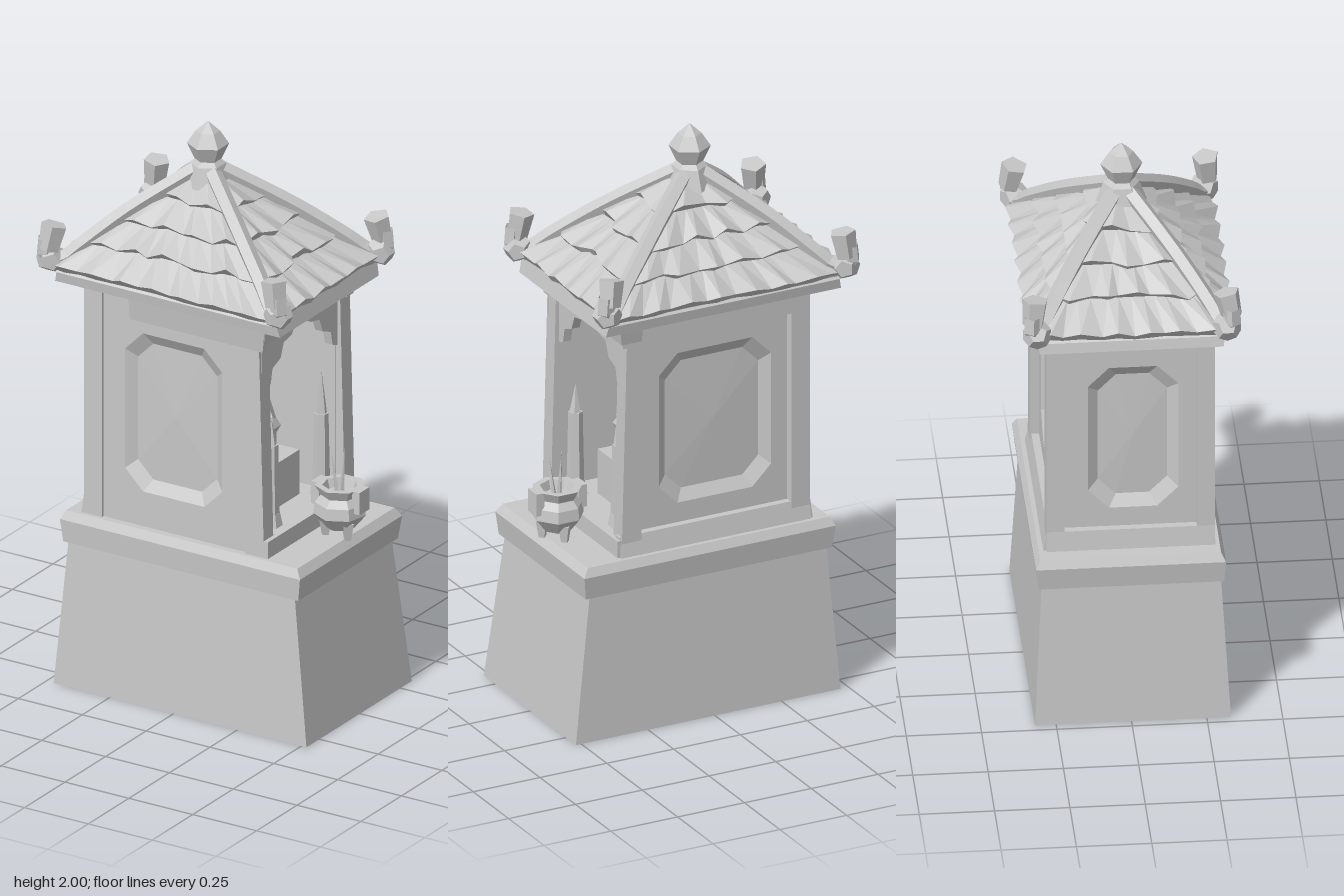
import * as THREE from 'three';

const stone = new THREE.MeshStandardMaterial({ color: 0xc8c8c8, flatShading: true, side: THREE.DoubleSide });
stone.name = 'grey stone';

let seed = 7;
const rnd = () => ((seed = (seed * 16807) % 2147483647) / 2147483647);

function add(parent, name, geo, x = 0, y = 0, z = 0) {
  const m = new THREE.Mesh(geo, stone);
  m.name = name;
  m.position.set(x, y, z);
  parent.add(m);
  return m;
}

// Block with separate bottom and top rectangles [x0, x1, z0, z1]
function block(parent, name, y0, y1, b, t = b) {
  const g = new THREE.BoxGeometry(1, 1, 1), p = g.attributes.position;
  for (let i = 0; i < p.count; i++) {
    const up = p.getY(i) > 0, r = up ? t : b;
    p.setXYZ(i, p.getX(i) < 0 ? r[0] : r[1], up ? y1 : y0, p.getZ(i) < 0 ? r[2] : r[3]);
  }
  return add(parent, name, g);
}

const fromTris = (pts) => {
  const g = new THREE.BufferGeometry().setFromPoints(pts);
  g.computeVertexNormals();
  return g;
};

const octagon = (w, h, c) => [[-w + c, -h], [w - c, -h], [w, -h + c], [w, h - c], [w - c, h], [-w + c, h], [-w, h - c], [-w, -h + c]]
  .map(([x, y]) => new THREE.Vector2(x, y));

// Wall with a sunken eight-sided panel, facing +z
function panelWall(parent, name, w, h, pw, ph) {
  const wall = new THREE.Group();
  wall.name = name;
  const s = new THREE.Shape([[-w, -h], [w, -h], [w, h], [-w, h]].map(([x, y]) => new THREE.Vector2(x, y)));
  const outer = octagon(pw, ph, 0.07), inner = octagon(pw - 0.035, ph - 0.04, 0.06);
  s.holes.push(new THREE.Path(outer));
  add(wall, 'wallFace', new THREE.ShapeGeometry(s));
  const pts = [], d = -0.025;
  outer.forEach((o, i) => {
    const j = (i + 1) % 8;
    const A = new THREE.Vector3(o.x, o.y, 0), B = new THREE.Vector3(outer[j].x, outer[j].y, 0);
    const C = new THREE.Vector3(inner[j].x, inner[j].y, d), D = new THREE.Vector3(inner[i].x, inner[i].y, d);
    pts.push(A, B, C, A, C, D, D, C, new THREE.Vector3(0, 0, d + 0.008));
  });
  add(wall, 'sunkenPanel', fromTris(pts));
  parent.add(wall);
  return wall;
}

// One sloping roof side: rows of uneven, lifted tiles
function roofSide(parent, apex, a, b) {
  const n = b.clone().sub(a).cross(apex.clone().sub(a)).normalize();
  if (n.y < 0) n.negate();
  const at = (t, u, lift) => apex.clone().lerp(a.clone().lerp(b, u), t).addScaledVector(n, lift);
  const rows = [0.06, 0.3, 0.52, 0.74, 1], pts = [];
  for (let r = 0; r < 4; r++) {
    const count = Math.round((3 + r * 3) * (a.distanceTo(b) > 0.75 ? 1.25 : 1));
    let prev = null;
    for (let i = 0; i <= count; i++) {
      const edge = i === 0 || i === count;
      const u = (i + (edge ? 0 : (rnd() - 0.5) * 0.5)) / count;
      const t = rows[r + 1] + (r < 3 ? (rnd() - 0.3) * 0.06 : (rnd() - 0.7) * 0.02);
      const lift = edge ? 0.012 : i % 2 ? 0.036 : 0.016;
      const cur = [at(rows[r], u, 0.004), at(t, u, lift), at(t, u, -0.015)];
      if (prev) for (let k = 0; k < 2; k++)
        pts.push(prev[k], prev[k + 1], cur[k + 1], prev[k], cur[k + 1], cur[k]);
      prev = cur;
    }
  }
  add(parent, 'roofTiles', fromTris(pts));
}

export function createModel() {
  const root = new THREE.Group();
  root.name = 'shrine';

  // Plinth and ledge
  block(root, 'plinth', 0, 0.52, [-0.47, 0.52, -0.32, 0.33], [-0.43, 0.455, -0.295, 0.3]);
  block(root, 'ledgeLower', 0.51, 0.59, [-0.445, 0.475, -0.305, 0.31], [-0.455, 0.485, -0.315, 0.315]);
  block(root, 'ledgeTop', 0.59, 0.62, [-0.455, 0.485, -0.315, 0.315], [-0.44, 0.465, -0.3, 0.3]);

  // Chamber walls
  const walls = new THREE.Group();
  walls.name = 'chamber';
  root.add(walls);
  panelWall(walls, 'wallLong', 0.345, 0.41, 0.19, 0.285).position.set(-0.035, 1.03, 0.275);
  const rear = panelWall(walls, 'wallLongRear', 0.34, 0.41, 0.21, 0.27);
  rear.position.set(-0.04, 1.03, -0.245);
  rear.rotation.y = Math.PI;
  const end = panelWall(walls, 'wallEnd', 0.255, 0.41, 0.15, 0.27);
  end.position.set(-0.355, 1.03, 0.015);
  end.rotation.y = -Math.PI / 2;
  for (const z of [-0.215, 0.245]) block(walls, 'innerWall', 0.62, 1.44, [-0.1, 0.29, z - 0.004, z + 0.004]);
  block(walls, 'innerBackWall', 0.62, 1.44, [-0.12, -0.1, -0.22, 0.25]);
  block(walls, 'ceiling', 1.42, 1.44, [-0.36, 0.3, -0.24, 0.27]);
  block(walls, 'floor', 0.62, 0.67, [-0.1, 0.31, -0.22, 0.25]);

  // Corner posts, sills and rails
  for (const z of [[-0.275, -0.215], [0.225, 0.285]]) {
    block(walls, 'frontPost', 0.62, 1.4, [0.25, 0.325, ...z], [0.25, 0.305, ...z]);
    block(walls, 'backPost', 0.62, 1.44, [-0.38, -0.31, ...z]);
  }
  block(walls, 'lintelLong', 1.36, 1.44, [-0.2, 0.32, 0.26, 0.285], [-0.2, 0.33, 0.26, 0.295]);
  block(walls, 'railRear', 1.37, 1.44, [-0.38, 0.32, -0.275, -0.235]);
  block(walls, 'railEnd', 1.37, 1.44, [-0.38, -0.34, -0.27, 0.28]);
  block(walls, 'lintelFront', 1.385, 1.44, [0.25, 0.325, -0.275, 0.285], [0.25, 0.335, -0.285, 0.295]);
  block(walls, 'sillRear', 0.62, 0.69, [-0.38, 0.33, -0.285, -0.24], [-0.38, 0.33, -0.27, -0.24]);
  block(walls, 'sillEnd', 0.62, 0.69, [-0.39, -0.35, -0.275, 0.285], [-0.38, -0.35, -0.275, 0.285]);
  block(walls, 'sillFront', 0.62, 0.68, [0.25, 0.34, -0.275, 0.285]);

  // Scalloped arch over the opening
  const half = [[0.215, 1.2], [0.19, 1.21], [0.18, 1.26], [0.13, 1.28], [0.11, 1.33], [0.06, 1.34], [0.04, 1.37]];
  const arch = new THREE.Shape([[0.23, 1.4], [0.23, 1.2], ...half, ...half.map(([z, y]) => [-z, y]).reverse(), [-0.23, 1.2], [-0.23, 1.4]]
    .map(([z, y]) => new THREE.Vector2(z, y)));
  add(walls, 'arch', new THREE.ExtrudeGeometry(arch, { depth: 0.03, bevelEnabled: false }).rotateY(-Math.PI / 2), 0.295, 0, 0.005);

  // Altar and seated figure
  const altar = new THREE.Group();
  altar.name = 'altar';
  root.add(altar);
  block(altar, 'altarStep', 0.67, 0.83, [-0.1, 0.2, -0.13, 0.13]);
  block(altar, 'altarSeat', 0.83, 0.9, [-0.1, 0.13, -0.1, 0.11]);
  const figure = new THREE.Group();
  figure.name = 'seatedFigure';
  figure.position.set(0.05, 0, 0.01);
  altar.add(figure);
  add(figure, 'robe', new THREE.LatheGeometry([[0, 0.88], [0.09, 0.9], [0.1, 0.95], [0.075, 1.04], [0.065, 1.1], [0.025, 1.15], [0, 1.15]].map(([x, y]) => new THREE.Vector2(x, y)), 7));
  add(figure, 'head', new THREE.IcosahedronGeometry(0.047, 0), 0.01, 1.175, 0);
  add(figure, 'hat', new THREE.CylinderGeometry(0.05, 0.042, 0.07, 6), 0, 1.24, 0);
  for (const s of [-1, 1]) {
    const wing = add(figure, 'hatWing', new THREE.BoxGeometry(0.02, 0.025, 0.05), 0, 1.21, s * 0.065);
    wing.rotation.x = -s * 0.35;
    const sleeve = add(figure, 'sleeve', new THREE.CylinderGeometry(0.025, 0.045, 0.14, 5), 0.05, 1.02, s * 0.055);
    sleeve.rotation.set(s * 0.3, 0, 0.4);
    add(figure, 'knee', new THREE.IcosahedronGeometry(0.05, 0), 0.07, 0.93, s * 0.06);
  }

  // Candles beside the opening
  for (const [z, tip] of [[0.155, 1.07], [-0.155, 1.13]]) {
    add(altar, 'candle', new THREE.CylinderGeometry(0.024, 0.03, 0.29, 6), 0.27, 0.825, z);
    add(altar, 'candleFoot', new THREE.CylinderGeometry(0.03, 0.04, 0.05, 6), 0.27, 0.7, z);
    add(altar, 'flame', new THREE.ConeGeometry(0.02, tip - 0.97, 5), 0.27, (tip + 0.97) / 2, z);
  }

  // Incense pot on the ledge
  const pot = new THREE.Group();
  pot.name = 'incensePot';
  pot.position.set(0.43, 0, -0.02);
  root.add(pot);
  add(pot, 'bowl', new THREE.LatheGeometry([[0, 0.645], [0.05, 0.65], [0.09, 0.7], [0.085, 0.74], [0.065, 0.765], [0.085, 0.8], [0.06, 0.8], [0.05, 0.77], [0, 0.77]].map(([x, y]) => new THREE.Vector2(x, y)), 7));
  for (let i = 0; i < 3; i++) {
    const a = i * Math.PI * 2 / 3 + 0.5;
    add(pot, 'foot', new THREE.CylinderGeometry(0.025, 0.014, 0.06, 4), Math.cos(a) * 0.05, 0.648, Math.sin(a) * 0.05);
    const stick = add(pot, 'incenseStick', new THREE.ConeGeometry(0.011, 0.17, 4), Math.cos(a) * 0.018, 0.82 + i * 0.012, Math.sin(a) * 0.018);
    stick.rotation.set(Math.sin(a) * 0.12, 0, -Math.cos(a) * 0.12);
  }
  for (const s of [-1, 1]) block(pot, 'handle', 0.72, 0.8, [s * 0.08 - 0.015, s * 0.08 + 0.015, -0.03, 0.03]);

  // Roof: eave, core and tiled sides
  const roof = new THREE.Group();
  roof.name = 'roof';
  root.add(roof);
  block(roof, 'eave', 1.44, 1.505, [-0.48, 0.4, -0.305, 0.305], [-0.465, 0.385, -0.315, 0.315]);
  const apex = new THREE.Vector3(-0.075, 1.84, 0);
  const corners = [[-0.485, 0.325], [0.395, 0.325], [0.395, -0.325], [-0.485, -0.325]].map(([x, z]) => new THREE.Vector3(x, 1.495, z));
  block(roof, 'roofCore', 1.48, 1.81, [-0.48, 0.39, -0.32, 0.32], [-0.08, -0.07, -0.005, 0.005]);
  corners.forEach((c, i) => roofSide(roof, apex, c, corners[(i + 1) % 4]));

  // Hip ridges ending in upturned scrolls
  for (const c of corners) {
    const sx = Math.sign(c.x), sz = Math.sign(c.z);
    const p = (dx, y, dz) => new THREE.Vector3(c.x + sx * dx, y, c.z + sz * dz);
    const path = new THREE.CatmullRomCurve3([new THREE.Vector3(-0.075, 1.85, 0), apex.clone().lerp(c, 0.5).setY(1.69), p(-0.07, 1.56, -0.055), p(-0.02, 1.515, -0.02), p(0.018, 1.54, 0.005), p(0.015, 1.6, 0.005)]);
    add(roof, 'hipRidge', new THREE.TubeGeometry(path, 14, 0.03, 5));
    add(roof, 'scrollBulge', new THREE.DodecahedronGeometry(0.05), c.x + sx * 0.005, 1.525, c.z - sz * 0.01);
    const tip = add(roof, 'scrollTip', new THREE.CylinderGeometry(0.045, 0.036, 0.09, 5), c.x - sx * 0.002, 1.605, c.z - sz * 0.002);
    tip.rotation.set(-sz * 0.15, 0.4, sx * 0.15);
  }

  // Finial
  add(roof, 'finial', new THREE.LatheGeometry([[0.085, 1.78], [0.06, 1.85], [0.045, 1.865], [0.07, 1.92], [0.04, 1.965], [0, 2.0]].map(([x, y]) => new THREE.Vector2(x, y)), 6), -0.075, 0, 0);
  return root;
}
